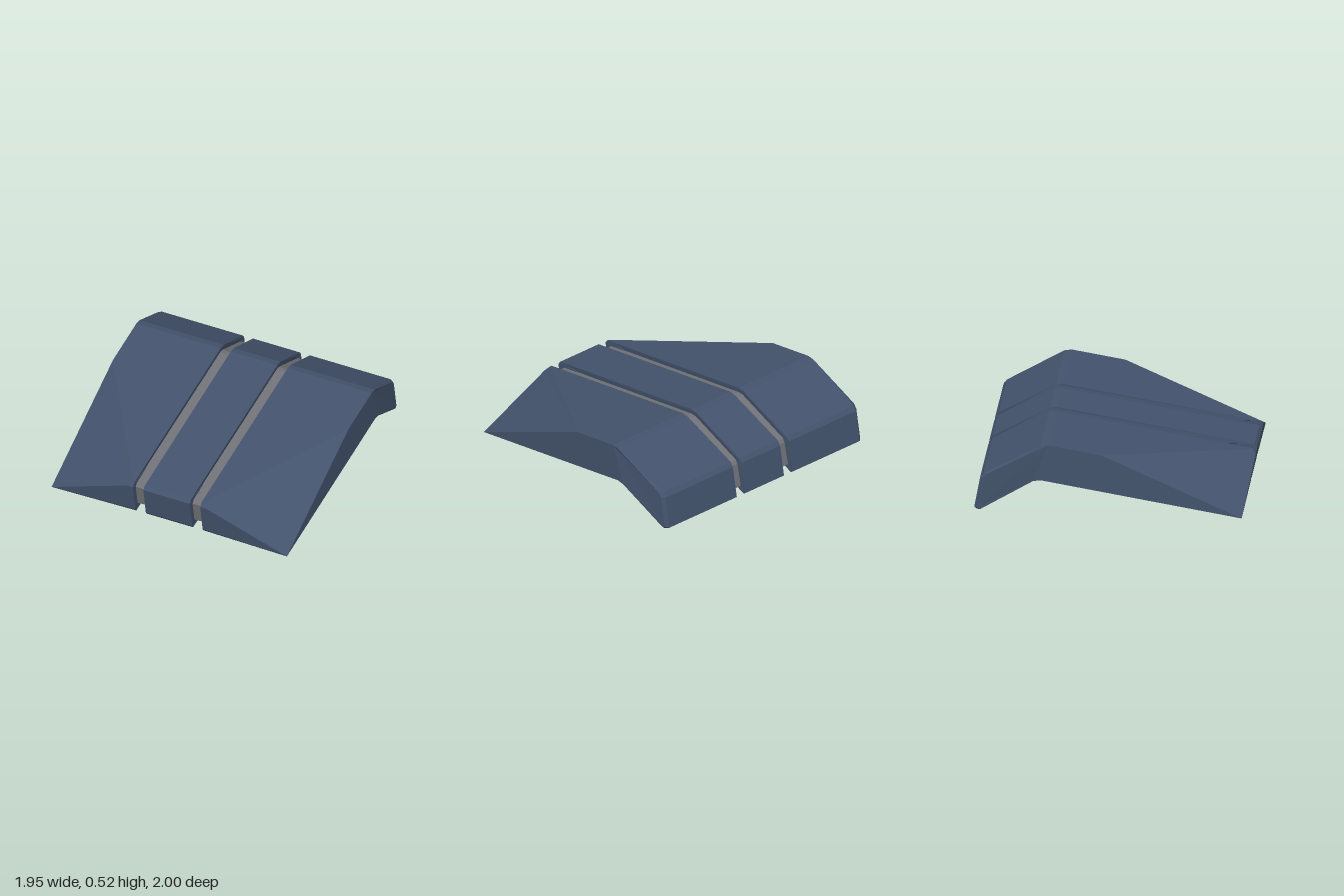
import * as THREE from 'three';

const CENTER = 0.019; // front part sits slightly off-centre because the back flap is skewed
const SKEW = -0.048; // sideways shift of the back edge

// Side outlines as [z, y], from the front bottom up, over the top and back underneath
const PANEL = [
  [0.945, 0.008], [0.96, 0.028], [1.0, 0.26], [0.98, 0.287], [-0.46, 0.526], [-0.515, 0.519],
  [-0.93, 0.303], [-0.955, 0.27], [-0.998, 0.035], [-0.98, 0.022], [-0.57, 0.242], [-0.515, 0.25],
];
const STRIP = [
  [0.905, 0.05], [0.923, 0.065], [0.955, 0.232], [0.935, 0.257], [-0.46, 0.487], [-0.5, 0.482],
  [-0.895, 0.275], [-0.915, 0.25], [-0.95, 0.078], [-0.935, 0.065], [-0.565, 0.28], [-0.515, 0.29],
];

const blue = new THREE.MeshStandardMaterial({ color: 0x43536c, flatShading: true });
const grey = new THREE.MeshStandardMaterial({ color: 0x717277, flatShading: true });

// Give every point of an outline an x, optionally adjusted point by point
const section = (outline, x, xs = {}) => outline.map(([z, y], i) => new THREE.Vector3(xs[i] ?? x, y, z));

// Skin consecutive sections, close both ends, then place on one side and skew the back
function loft(sections, side = 1) {
  const pos = [];
  const place = (p) => [CENTER + side * p.x + (p.z < -0.8 ? SKEW : 0), p.y, p.z];
  const tri = (a, b, c) => {
    const area = b.clone().sub(a).cross(c.clone().sub(a)).length();
    if (area < 1e-7) return;
    for (const p of side > 0 ? [a, b, c] : [a, c, b]) pos.push(...place(p));
  };
  for (let s = 0; s < sections.length - 1; s++) {
    const A = sections[s], B = sections[s + 1], n = A.length;
    for (let i = 0; i < n; i++) {
      const j = (i + 1) % n;
      tri(A[i], B[i], B[j]);
      tri(A[i], B[j], A[j]);
    }
  }
  const cap = (S, flip) => {
    const flat = S.map((p) => new THREE.Vector2(p.z, p.y));
    for (const [a, b, c] of THREE.ShapeUtils.triangulateShape(flat, [])) {
      if (flip) tri(S[a], S[c], S[b]);
      else tri(S[a], S[b], S[c]);
    }
  };
  cap(sections[0], false);
  cap(sections[sections.length - 1], true);
  const geo = new THREE.BufferGeometry();
  geo.setAttribute('position', new THREE.Float32BufferAttribute(pos, 3));
  geo.computeVertexNormals();
  return geo;
}

export function createModel() {
  const model = new THREE.Group();
  const add = (name, geo, mat) => {
    const mesh = new THREE.Mesh(geo, mat);
    mesh.name = name;
    model.add(mesh);
  };

  // Centre panel
  add('centerPanel', loft([section(PANEL, -0.188), section(PANEL, 0.188)]), blue);

  // Outer edge of a side panel: the front corner is sliced off down to one low point
  const sliced = PANEL.map((p, i) => (i < 3 ? [0.957, 0.004] : i === 3 ? [-0.07, 0.461] : p));
  // Back corner bevel
  const bevelled = sliced.map(([z, y], i) => (i >= 6 && i <= 9 ? [z + 0.025, y + (i < 8 ? 0 : 0.004)] : [z, y]));
  const outer = 0.953, inset = 0.928;

  for (const [side, label] of [[1, 'left'], [-1, 'right']]) {
    add(label + 'Panel', loft([
      section(PANEL, 0.272),
      section(PANEL, 0.282, { 2: 0.318 }),
      section(sliced, outer, { 6: inset, 7: inset, 8: inset, 9: inset }),
      section(bevelled, outer),
    ], side), blue);

    // Recessed strip between the panels
    add(label + 'Strip', loft([section(STRIP, 0.18), section(STRIP, 0.28)], side), grey);
  }
  return model;
}
